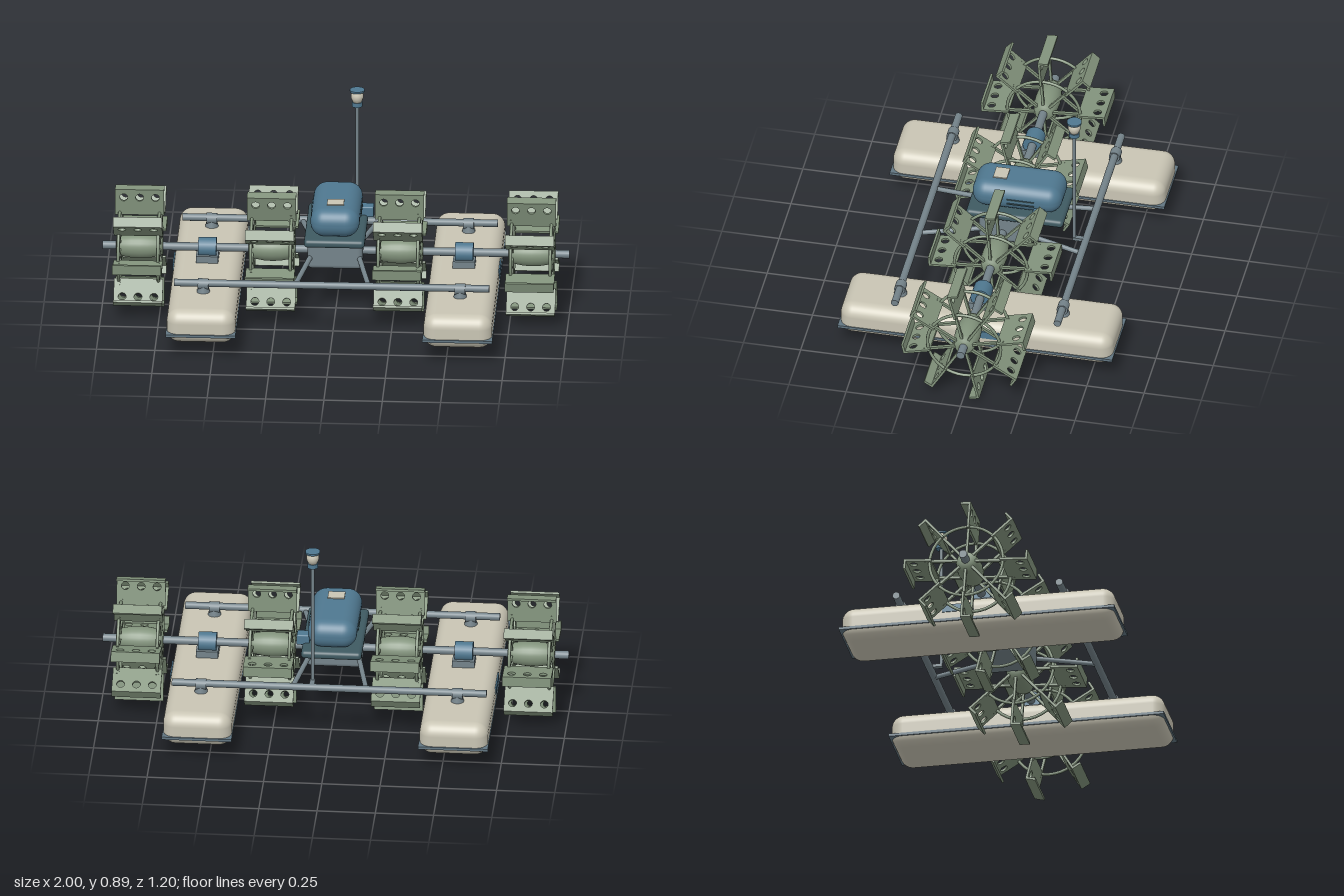
import * as THREE from 'three';
import { RoundedBoxGeometry } from 'three/addons/geometries/RoundedBoxGeometry.js';

const paint = (name, color) => {
  const m = new THREE.MeshStandardMaterial({ color });
  m.name = name;
  return m;
};
const cream = paint('cream plastic', 0xc9c5b4);
const blue = paint('blue housing', 0x4f7890);
const steel = paint('steel tube', 0x74838a);
const green = paint('green paddle', 0x82937c);
const teal = paint('dark teal plate', 0x3f5a62);
const seam = paint('slate seam', 0x627682);

function add(parent, name, geometry, material, x = 0, y = 0, z = 0) {
  const mesh = new THREE.Mesh(geometry, material);
  mesh.name = name;
  mesh.position.set(x, y, z);
  parent.add(mesh);
  return mesh;
}
const box = (w, h, d) => new THREE.BoxGeometry(w, h, d);
const rounded = (w, h, d, r) => new RoundedBoxGeometry(w, h, d, 5, r);
const barX = (r, length) => new THREE.CylinderGeometry(r, r, length, 20).rotateZ(Math.PI / 2);
const lathe = (points) => new THREE.LatheGeometry(points.map(p => new THREE.Vector2(...p)), 24);

// Round tube between two points
function rod(parent, name, a, b, r, material) {
  const from = new THREE.Vector3(...a), to = new THREE.Vector3(...b);
  const mesh = add(parent, name, new THREE.CylinderGeometry(r, r, from.distanceTo(to), 14), material);
  mesh.position.copy(from).add(to).multiplyScalar(0.5);
  mesh.quaternion.setFromUnitVectors(new THREE.Vector3(0, 1, 0), to.sub(from).normalize());
}

// Flat blade with a row of three round holes
function bladeGeometry() {
  const s = new THREE.Shape();
  s.moveTo(-0.105, 0.15);
  s.lineTo(0.105, 0.15);
  s.lineTo(0.105, 0.27);
  s.lineTo(-0.105, 0.27);
  s.closePath();
  for (const x of [-0.068, 0, 0.068]) {
    const hole = new THREE.Path();
    hole.absarc(x, 0.232, 0.017, 0, Math.PI * 2, true);
    s.holes.push(hole);
  }
  return new THREE.ExtrudeGeometry(s, { depth: 0.01, bevelEnabled: false, curveSegments: 10 }).translate(0, 0, -0.005);
}

// Paddle wheel: barrel hub, two rings, eight bent blades on arms
function paddleWheel(phase) {
  const wheel = new THREE.Group();
  wheel.name = 'paddleWheel';
  const hub = lathe([[0, -0.1], [0.036, -0.1], [0.046, -0.075], [0.053, -0.035], [0.055, 0],
    [0.053, 0.035], [0.046, 0.075], [0.036, 0.1], [0, 0.1]]);
  add(wheel, 'hub', hub.rotateZ(Math.PI / 2), green);
  const ring = new THREE.TorusGeometry(0.16, 0.007, 8, 40).rotateY(Math.PI / 2);
  const blade = bladeGeometry();
  for (const x of [-0.085, 0.085]) add(wheel, 'ring', ring, green, x);
  for (let i = 0; i < 8; i++) {
    const paddle = new THREE.Group();
    paddle.name = 'paddle';
    paddle.rotation.x = phase + i * Math.PI / 4;
    add(paddle, 'blade', blade, green);
    add(paddle, 'bladeLip', box(0.21, 0.01, 0.04), green, 0, 0.265, -0.02);
    for (const x of [-0.085, 0.085]) add(paddle, 'arm', box(0.014, 0.16, 0.011), green, x, 0.1, 0);
    wheel.add(paddle);
  }
  return wheel;
}

export function createModel() {
  const model = new THREE.Group();
  model.name = 'paddlewheelAerator';

  // Floats with seam flange, marker plates and axle bearings
  for (const s of [-1, 1]) {
    const x = s * 0.55;
    add(model, 'float', rounded(0.294, 0.15, 1.19, 0.055), cream, x, 0.15, 0);
    add(model, 'floatFlange', box(0.3, 0.012, 1.2), seam, x, 0.119, 0);
    add(model, 'floatMarker', box(0.006, 0.034, 0.136), blue, s * 0.698, 0.172, -0.082);
    add(model, 'bearingBase', box(0.095, 0.035, 0.1), steel, x, 0.238, 0);
    add(model, 'bearing', barX(0.042, 0.078), blue, x, 0.28, 0);
    for (const z of [-0.355, 0.355]) {
      add(model, 'clampFoot', new THREE.CylinderGeometry(0.022, 0.03, 0.035, 18), steel, x, 0.235, z);
      add(model, 'clamp', barX(0.024, 0.045), steel, x, 0.26, z);
    }
  }

  // Frame: cross tubes and sloping struts to the gearbox
  for (const z of [-1, 1]) {
    add(model, 'crossTube', barX(0.016, 1.35), steel, 0, 0.264, z * 0.355);
    for (const x of [-1, 1])
      rod(model, 'strut', [x * 0.16, 0.258, z * 0.355], [x * 0.1, 0.285, z * 0.07], 0.011, steel);
  }

  // Axle and four wheels with alternating phase
  add(model, 'axle', barX(0.018, 2), steel, 0, 0.28, 0);
  [-0.84, -0.273, 0.273, 0.84].forEach((x, i) => {
    const wheel = paddleWheel(THREE.MathUtils.degToRad(i % 2 ? 14 : 4));
    wheel.position.set(x, 0.28, 0);
    model.add(wheel);
  });

  // Gearbox, mounting plate and motor
  add(model, 'gearbox', rounded(0.235, 0.135, 0.21, 0.02), steel, 0, 0.298, 0);
  add(model, 'mountingPlate', rounded(0.26, 0.036, 0.425, 0.016), teal, 0, 0.368, -0.053);
  add(model, 'motorHousing', rounded(0.21, 0.127, 0.39, 0.06), blue, 0, 0.446, -0.052);
  add(model, 'motorLabel', box(0.072, 0.006, 0.06), cream, 0, 0.511, 0.028);
  for (const x of [-0.105, 0.105])
    for (const y of [0.432, 0.452]) add(model, 'motorVent', box(0.006, 0.006, 0.12), teal, x, y, -0.075);
  add(model, 'terminalBox', rounded(0.055, 0.048, 0.052, 0.006), blue, 0.127, 0.399, -0.158);

  // Lamp mast at the rear
  const mx = 0.075, mz = -0.305;
  add(model, 'mastBracket', box(0.022, 0.014, 0.06), steel, mx, 0.27, -0.33);
  rod(model, 'mast', [mx, 0.265, mz], [mx, 0.83, mz], 0.008, steel);
  add(model, 'lampBase', new THREE.CylinderGeometry(0.023, 0.023, 0.02, 24), blue, mx, 0.829, mz);
  add(model, 'lampGlass', lathe([[0, 0], [0.019, 0], [0.026, 0.018], [0.027, 0.032], [0.02, 0.05], [0, 0.05]]), cream, mx, 0.838, mz);
  add(model, 'lampCap', new THREE.CylinderGeometry(0.032, 0.032, 0.008, 24), blue, mx, 0.891, mz);

  return model;
}
